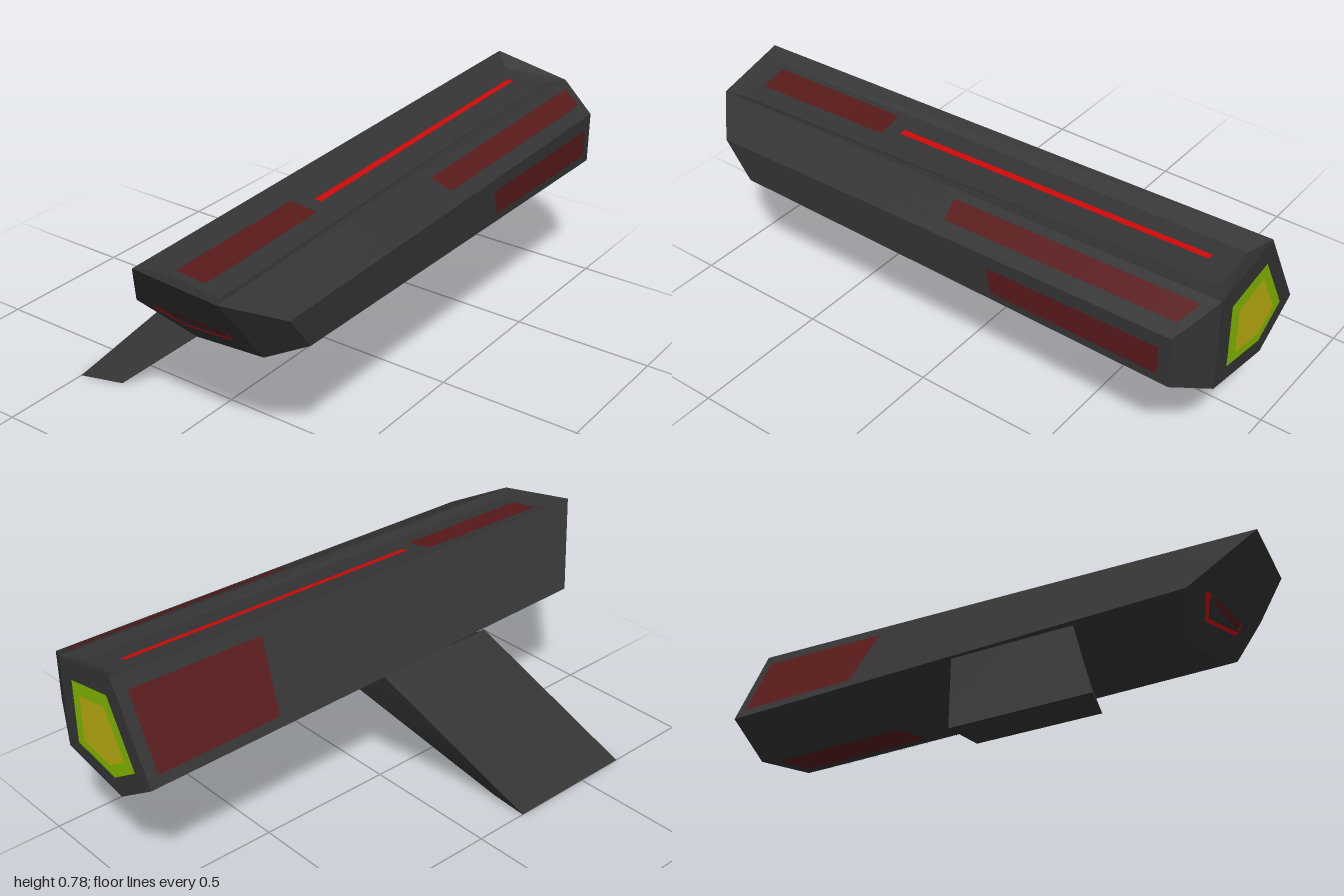
import * as THREE from 'three';
import { mergeGeometries } from 'three/addons/utils/BufferGeometryUtils.js';

const mat = (name, color) => Object.assign(new THREE.MeshStandardMaterial({ color, side: THREE.DoubleSide }), { name });
const V = (x, y, z) => new THREE.Vector3(x, y, z);

// Flat convex polygon as a triangle fan, corners anticlockwise from outside
function poly(pts) {
  const out = [];
  for (let i = 1; i < pts.length - 1; i++) for (const p of [pts[0], pts[i], pts[i + 1]]) out.push(p.x, p.y, p.z);
  const g = new THREE.BufferGeometry();
  g.setAttribute('position', new THREE.Float32BufferAttribute(out, 3));
  g.computeVertexNormals();
  return g;
}

// Bilinear patch on quad [a, b, c, d]: u runs a to b, t runs a to d, lifted along the normal
function patch([a, b, c, d], u0 = 0, u1 = 1, t0 = 0, t1 = 1, lift = 0) {
  const nu = 4, nt = 10, out = [], idx = [];
  for (let j = 0; j <= nt; j++) for (let i = 0; i <= nu; i++) {
    const u = u0 + (u1 - u0) * i / nu, t = t0 + (t1 - t0) * j / nt;
    const p = a.clone().lerp(b, u).lerp(d.clone().lerp(c, u), t);
    const eu = b.clone().sub(a).lerp(c.clone().sub(d), t);
    const et = d.clone().sub(a).lerp(c.clone().sub(b), u);
    p.addScaledVector(eu.cross(et).normalize(), lift);
    out.push(p.x, p.y, p.z);
    if (i < nu && j < nt) {
      const k = j * (nu + 1) + i, m = k + nu + 1;
      idx.push(k, k + 1, m + 1, k, m + 1, m);
    }
  }
  const g = new THREE.BufferGeometry();
  g.setAttribute('position', new THREE.Float32BufferAttribute(out, 3));
  g.setIndex(idx);
  const flat = g.toNonIndexed();
  g.computeVertexNormals();
  flat.setAttribute('normal', g.toNonIndexed().getAttribute('normal'));
  return flat;
}

// Panel between two z positions on a lengthwise quad
function zPanel(q, u0, u1, zFront, zBack, lift = 0.003) {
  const f = (q[0].z + q[1].z) / 2, b = (q[2].z + q[3].z) / 2;
  return patch(q, u0, u1, (f - zFront) / (f - b), (f - zBack) / (f - b), lift);
}

export function createModel() {
  const hull = mat('charcoal', 0x343434), panelRed = mat('dark red', 0x581a1a);
  const lineRed = mat('bright red', 0xd00808), green = mat('lime', 0x84b800), yellow = mat('yellow', 0xbcae10);
  const root = new THREE.Group();
  const add = (name, geos, material) => {
    const m = new THREE.Mesh(mergeGeometries(geos), material);
    m.name = name;
    root.add(m);
  };

  // Hull rings, clockwise from the front: left ridge, top pair, side pair, bottom pair
  const front = [V(-0.095, 0.485, 0.815), V(0.075, 0.725, 1), V(0.355, 0.685, 0.967), V(0.5, 0.62, 0.827),
    V(0.5, 0.495, 0.732), V(0.355, 0.42, 0.766), V(0.075, 0.38, 0.74)];
  const back = [V(-0.095, 0.46, -1), V(0.075, 0.78, -1), V(0.355, 0.73, -1), V(0.5, 0.655, -0.93),
    V(0.5, 0.475, -0.93), V(0.355, 0.4, -1), V(0.075, 0.35, -1)];
  const side = i => [front[i], front[(i + 1) % 7], back[(i + 1) % 7], back[i]];
  const main = [0, 1, 2, 5, 6], cheek = [2, 3, 4, 5];
  const shell = [];
  for (let i = 0; i < 7; i++) if (i !== 1) shell.push(patch(side(i)));
  for (const loop of [main, cheek]) {
    shell.push(poly(loop.map(i => front[i]).reverse()));
    shell.push(poly(loop.map(i => back[i])));
  }
  add('hull', shell, hull);

  // Sunken deck on top with sloping walls
  const rim = side(1);
  const deck = [V(0.12, 0.698, 0.93), V(0.32, 0.67, 0.91), V(0.295, 0.722, -0.95), V(0.13, 0.742, -0.95)];
  add('topDeck', [patch(deck), ...rim.map((p, i) => poly([p, rim[(i + 1) % 4], deck[(i + 1) % 4], deck[i]]))], hull);

  // Slanted fin under the left ridge
  const foot = [V(-0.5, 0, 0.685), V(-0.355, 0, 0.64), V(-0.355, 0, 0.21), V(-0.5, 0, 0.2)];
  const root4 = [V(-0.088, 0.467, 0.41), V(0.06, 0.37, 0.37), V(0.06, 0.365, -0.06), V(-0.088, 0.467, -0.06)];
  const finSide = i => [foot[i], foot[(i + 1) % 4], root4[(i + 1) % 4], root4[i]];
  add('fin', [0, 1, 2, 3].map(i => patch(finSide(i))).concat(poly([...foot].reverse())), hull);

  // Dark red inlays
  add('inlayPanels', [
    zPanel(deck, 0.13, 0.64, 0.89, 0.36),
    zPanel(side(0), 0.1, 0.85, -0.475, -0.96),
    zPanel(side(2), 0.2, 0.68, -0.07, -0.93),
    zPanel(side(3), 0.27, 0.82, -0.28, -0.89),
    zPanel(side(4), 0.27, 0.8, 0.03, -0.92),
    zPanel(side(4), 0.75, 0.82, 0.6, 0.07),
    zPanel(side(5), 0.2, 0.85, -0.42, -0.95),
    patch(finSide(1), 0.5, 0.82, 0.1, 0.9, 0.003),
  ], panelRed);

  // Bright line along the deck
  add('deckLine', [zPanel(deck, 0.37, 0.49, 0.3, -0.87)], lineRed);

  // Markings on the raked nose
  const nose = (x, y) => V(x, y, 1 + (y - 0.725) * 0.7536 - 0.012 * (x - 0.075) + 0.007);
  const nosePoly = pts => poly(pts.map(p => nose(...p)));
  add('noseLine', [
    nosePoly([[0, 0.5], [0.08, 0.448], [0.088, 0.46], [0.042, 0.495], [0.04, 0.51], [0.002, 0.51]]),
    nosePoly([[0.08, 0.448], [0.285, 0.478], [0.285, 0.488], [0.088, 0.46]]),
    nosePoly([[0.275, 0.48], [0.285, 0.48], [0.285, 0.512], [0.275, 0.512]]),
  ], lineRed);
  add('nosePanel', [nosePoly([[0.075, 0.498], [0.26, 0.492], [0.272, 0.514], [0.075, 0.516]])], panelRed);

  // Glowing tail exhaust: two nested plates
  const mid = main.reduce((s, i) => s.add(back[i]), V(0, 0, 0)).divideScalar(main.length);
  const tail = (k, off) => poly(main.map(i => back[i].clone().lerp(mid, 1 - k).add(V(0, 0, -off))));
  add('exhaustRing', [tail(0.69, 0.003)], green);
  add('exhaustCore', [tail(0.49, 0.006)], yellow);

  return root;
}
